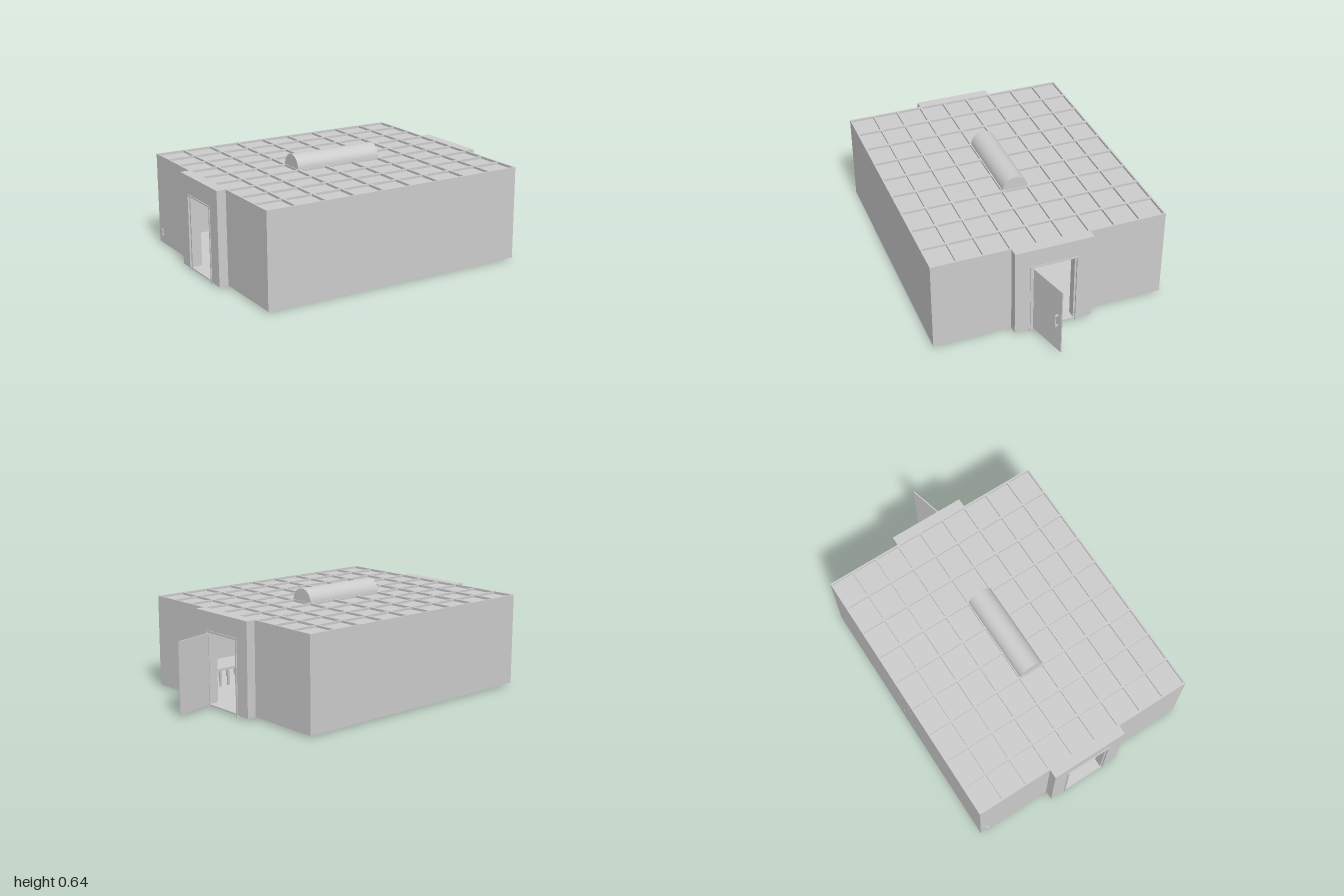
import * as THREE from 'three';

const X0 = -0.94, X1 = 0.695, CX = (X0 + X1) / 2, W = X1 - X0; // room along x
const D = 1.4, Y0 = 0.012, Y1 = 0.565;                         // room depth, floor, roof

export function createModel() {
  const root = new THREE.Group();
  const grey = new THREE.MeshStandardMaterial({ color: 0xcccccc });

  function add(name, geometry, x = 0, y = 0, z = 0, parent = root) {
    const mesh = new THREE.Mesh(geometry, grey);
    mesh.name = name;
    mesh.position.set(x, y, z);
    parent.add(mesh);
    return mesh;
  }
  const box = (name, w, h, d, x, y, z, parent) =>
    add(name, new THREE.BoxGeometry(w, h, d), x, y, z, parent);

  // Upright slab across z with a doorway notch, thick along +x
  function doorwaySlab(name, half, top, base, holeHalf, holeTop, thick, x) {
    const shape = new THREE.Shape([
      [-half, base], [-holeHalf, base], [-holeHalf, holeTop], [holeHalf, holeTop],
      [holeHalf, base], [half, base], [half, top], [-half, top],
    ].map(([a, b]) => new THREE.Vector2(a, b)));
    const geometry = new THREE.ExtrudeGeometry(shape, { depth: thick, bevelEnabled: false });
    geometry.rotateY(Math.PI / 2);
    return add(name, geometry, x);
  }

  // Floor, running out under both porches
  box('floor', W, 0.008, D, CX, Y0 + 0.004, 0);
  for (const [name, x] of [['leftPorchFloor', X1 + 0.0275], ['rightPorchFloor', X0 - 0.0275]]) {
    box(name, 0.055, 0.008, 0.47, x, Y0 + 0.004, 0);
  }

  // Walls
  const t = 0.01;
  for (const s of [1, -1]) {
    box(s > 0 ? 'frontWall' : 'backWall', W, Y1 - Y0, t, CX, (Y0 + Y1) / 2, s * (D / 2 - t / 2));
  }
  doorwaySlab('leftWall', D / 2 - t, Y1, Y0, 0.136, 0.45, t, X1 - t);
  doorwaySlab('rightWall', D / 2 - t, Y1, Y0, 0.136, 0.45, t, X0);

  // Porches, each with a stepped door frame
  doorwaySlab('leftPorch', 0.235, Y1, Y0, 0.136, 0.45, 0.055, X1);
  doorwaySlab('rightPorch', 0.235, Y1, Y0, 0.136, 0.45, 0.055, X0 - 0.055);
  doorwaySlab('leftDoorCasing', 0.143, 0.456, 0, 0.134, 0.447, 0.075, X1 - 0.015);
  doorwaySlab('rightDoorCasing', 0.143, 0.456, 0, 0.134, 0.447, 0.075, X0 - 0.06);
  doorwaySlab('leftDoorStop', 0.135, 0.448, 0.005, 0.123, 0.44, 0.05, X1);
  doorwaySlab('rightDoorStop', 0.135, 0.448, 0.005, 0.123, 0.44, 0.05, X0 - 0.05);

  // Coffered roof: recessed panel with a grid of beams
  box('roofPanel', W - 0.01, 0.006, D - 0.01, CX, 0.548, 0);
  const n = 9, beamH = 0.04, beamY = Y1 - beamH / 2 - 0.0005;
  for (let i = 1; i < n; i++) {
    box('crossBeam', 0.015, beamH, D - 0.01, X0 + (W * i) / n, beamY, 0);
    box('longBeam', W - 0.01, beamH, 0.013, CX, beamY - 0.0003, -D / 2 + (D * i) / n);
  }

  // Half-round skylight
  const skylight = new THREE.Shape();
  skylight.absarc(0, 0, 0.077, 0, Math.PI, false);
  skylight.closePath();
  const vault = new THREE.ExtrudeGeometry(skylight, { depth: 0.55, bevelEnabled: false, curveSegments: 32 });
  // Smooth the curved side, keep the ends flat
  const p = vault.attributes.position, nor = vault.attributes.normal;
  for (let i = 0; i < p.count; i++) {
    if (Math.abs(nor.getZ(i)) < 0.5 && nor.getY(i) > -0.9) {
      const r = Math.hypot(p.getX(i), p.getY(i));
      nor.setXYZ(i, p.getX(i) / r, p.getY(i) / r, 0);
    }
  }
  vault.rotateY(Math.PI / 2);
  add('skylight', vault, -0.398, Y1 - 0.002, 0);

  // Open door, hinged at the front jamb of the left porch
  const door = new THREE.Group();
  door.name = 'door';
  door.position.set(0.752, 0, 0.122);
  door.rotation.y = Math.atan2(0.064, 0.247);
  root.add(door);
  box('doorLeaf', 0.255, 0.42, 0.007, 0.1275, 0.23, 0, door);
  box('handleGrip', 0.008, 0.08, 0.006, 0.222, 0.23, 0.021, door);
  for (const y of [0.195, 0.265]) box('handleMount', 0.008, 0.01, 0.018, 0.222, y, 0.011, door);

  // Small service box low on the right wall
  box('serviceBox', 0.008, 0.04, 0.02, X0 - 0.004, 0.08, -0.655);

  // Board on the back wall, with fixings through it
  box('wallBoard', 0.2, 0.32, 0.012, -0.13, 0.295, -0.684);
  for (const x of [-0.2, -0.17, -0.09, -0.06]) {
    for (const y of [0.16, 0.43]) box('boardFixing', 0.008, 0.006, 0.014, x, y, -0.695);
  }

  // Low bench near the front wall on two rows of feet
  box('benchSeat', 0.36, 0.015, 0.21, 0.38, 0.13, 0.475);
  for (let i = 0; i < 6; i++) {
    for (const z of [0.39, 0.56]) box('benchFoot', 0.012, 0.115, 0.012, 0.23 + i * 0.06, 0.0665, z);
  }

  // Round planters in the corners
  for (const [x, z] of [[0.55, -0.56], [-0.8, 0.56]]) {
    add('planter', new THREE.CylinderGeometry(0.055, 0.045, 0.11, 24), x, 0.069, z);
  }
  return root;
}
